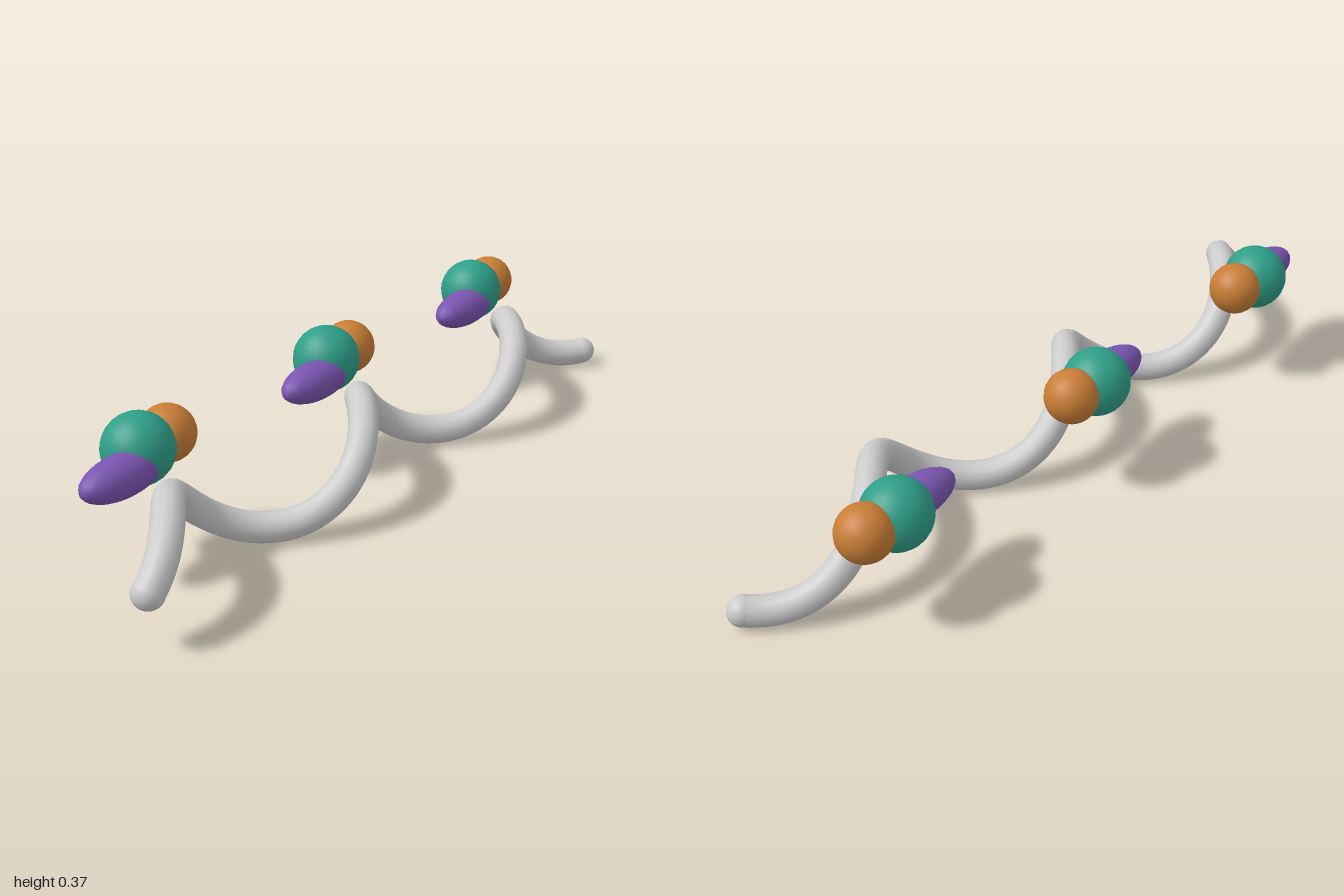
import * as THREE from 'three';

const TURNS = 2.8, HALF = 0.963, RADIUS = 0.097, TUBE = 0.037;
const AXIS_Y = 0.134, AXIS_Z = 0.073;

// Helix winding around the x axis
class Helix extends THREE.Curve {
  getPoint(t, target = new THREE.Vector3()) {
    const a = t * TURNS * Math.PI * 2;
    return target.set(
      -HALF + 2 * HALF * t,
      AXIS_Y + RADIUS * Math.sin(a),
      AXIS_Z + RADIUS * Math.cos(a)
    );
  }
}

export function createModel() {
  const model = new THREE.Group();
  const paint = (color) => new THREE.MeshStandardMaterial({ color });
  const grey = paint(0xcccccc), green = paint(0x2e9e88);
  const orange = paint(0xc87d35), purple = paint(0x7a55b0);
  const ball = new THREE.SphereGeometry(1, 24, 16);

  const add = (parent, name, geometry, material, position) => {
    const mesh = new THREE.Mesh(geometry, material);
    mesh.name = name;
    mesh.position.set(...position);
    parent.add(mesh);
    return mesh;
  };

  // Coiled strand with rounded ends
  const helix = new Helix();
  const strand = new THREE.Group();
  strand.name = 'helicalStrand';
  add(strand, 'coil', new THREE.TubeGeometry(helix, 140, TUBE, 14), grey, [0, 0, 0]);
  for (const t of [0, 1]) {
    add(strand, t ? 'leftEnd' : 'rightEnd', ball, grey, helix.getPoint(t).toArray()).scale.setScalar(TUBE);
  }
  model.add(strand);

  // Three bead clusters, each slightly lower and further back than the last
  for (let i = -1; i <= 1; i++) {
    const cluster = new THREE.Group();
    cluster.name = 'beadCluster' + (i + 2);
    cluster.position.set(0.693 * i, 0.271 - 0.0095 * i, -0.112 - 0.0085 * i);
    add(cluster, 'largeBead', ball, green, [0, 0, 0]).scale.setScalar(0.085);
    add(cluster, 'smallBead', ball, orange, [0.095, 0.003, -0.001]).scale.setScalar(0.068);
    add(cluster, 'longBead', ball, purple, [-0.089, -0.022, 0.035]).scale.set(0.12, 0.049, 0.053);
    model.add(cluster);
  }
  return model;
}
